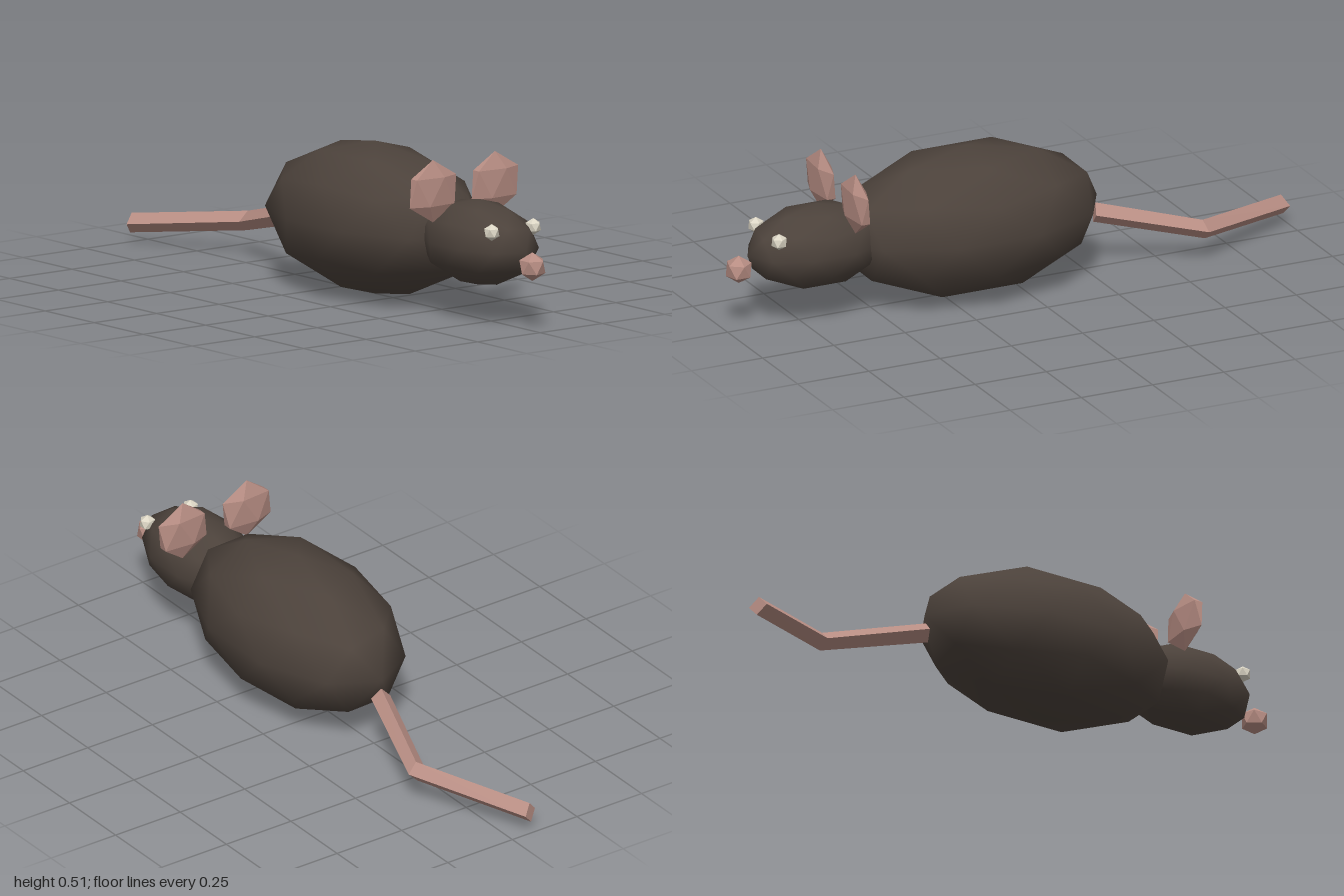
import * as THREE from 'three';

const fur = new THREE.MeshStandardMaterial({ color: 0x4c423b });
fur.name = 'dark brown fur';
const skin = new THREE.MeshStandardMaterial({ color: 0xb78d83 });
skin.name = 'pink skin';
const eyeWhite = new THREE.MeshStandardMaterial({ color: 0xdcd6c5 });
eyeWhite.name = 'pale eye';

// Icosphere with a vertex straight up, stretched to the given radii.
// Detail 0 is faceted, detail 1 is smooth.
function icoBall(name, material, detail, radii, position) {
  const geometry = new THREE.IcosahedronGeometry(1, detail);
  geometry.rotateX(-Math.atan2((1 + Math.sqrt(5)) / 2, 1));
  geometry.rotateY(Math.PI / 2);
  geometry.scale(...radii);
  const mesh = new THREE.Mesh(geometry, material);
  mesh.name = name;
  mesh.position.set(...position);
  return mesh;
}

// Square tail set on edge, swept along a bent path with capped ends.
function tailMesh() {
  const r = 0.032;
  const path = [[0, 0.187, -0.287], [0.1, 0.107, -0.622], [-0.08, 0.067, -0.985]]
    .map((p) => new THREE.Vector3(...p));
  const sides = [[0.96, 0.28], [1.03, -0.08], [0.89, -0.46]];
  const loops = path.map((p, i) => {
    const side = new THREE.Vector3(sides[i][0], 0, sides[i][1]).multiplyScalar(r);
    const up = new THREE.Vector3(0, r, i === 0 ? -0.004 : 0.004);
    return [p.clone().add(up), p.clone().add(side), p.clone().sub(up), p.clone().sub(side)];
  });
  const points = [];
  const quad = (a, b, c, d) => points.push(a, b, c, a, c, d);
  for (let s = 0; s < loops.length - 1; s++) {
    const [a, b] = [loops[s], loops[s + 1]];
    for (let i = 0; i < 4; i++) {
      const j = (i + 1) % 4;
      quad(a[i], a[j], b[j], b[i]);
    }
  }
  const [start, end] = [loops[0], loops[loops.length - 1]];
  quad(start[0], start[3], start[2], start[1]);
  quad(end[0], end[1], end[2], end[3]);
  const geometry = new THREE.BufferGeometry().setFromPoints(points);
  geometry.computeVertexNormals();
  const mesh = new THREE.Mesh(geometry, skin);
  mesh.name = 'tail';
  return mesh;
}

export function createModel() {
  const model = new THREE.Group();
  model.name = 'mouse';

  // Body, head and nose
  model.add(
    icoBall('body', fur, 1, [0.26, 0.245, 0.455], [0, 0.247, 0.16]),
    icoBall('head', fur, 1, [0.147, 0.1375, 0.24], [0, 0.247, 0.69]),
    icoBall('nose', skin, 0, [0.046, 0.046, 0.046], [0, 0.208, 0.961]),
  );

  // Paired ears and eyes
  for (const [label, s] of [['left', 1], ['right', -1]]) {
    model.add(
      icoBall(label + 'Ear', skin, 0, [0.104, 0.1, 0.028], [s * 0.124, 0.412, 0.612]),
      icoBall(label + 'Eye', eyeWhite, 0, [0.027, 0.027, 0.027], [s * 0.083, 0.312, 0.86]),
    );
  }

  model.add(tailMesh());
  return model;
}
